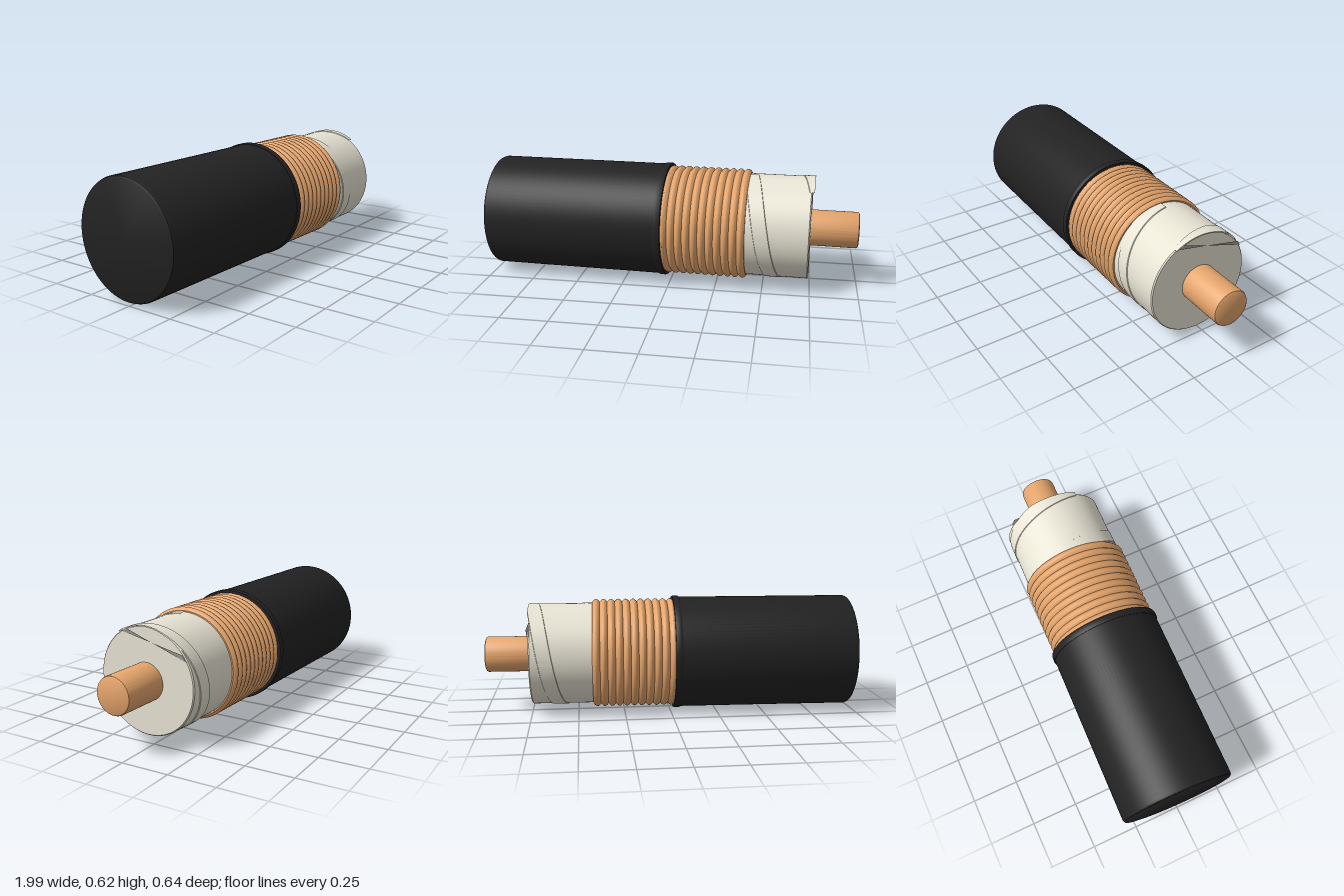
import * as THREE from 'three';
import { toCreasedNormals } from 'three/addons/utils/BufferGeometryUtils.js';
import { ParametricGeometry } from 'three/addons/geometries/ParametricGeometry.js';

const paint = (color, side = THREE.FrontSide) => new THREE.MeshStandardMaterial({ color, side });
const black = paint(0x222222);
const copper = paint(0xe5a56c);
const cream = paint(0xe8e4d4);
const creamThin = paint(0xe8e4d4, THREE.DoubleSide);

// Turned part from [radius, position along the cable] pairs
function turned(name, profile, material, crease = 0.6) {
  const points = profile.map(([r, t]) => new THREE.Vector2(r, t));
  const mesh = new THREE.Mesh(toCreasedNormals(new THREE.LatheGeometry(points, 96), crease), material);
  mesh.name = name;
  return mesh;
}

// Angle is measured from the top of the cable towards its front
const onCable = (r, angle, t, target) => target.set(-r * Math.cos(angle), t, r * Math.sin(angle));

export function createModel() {
  const cable = new THREE.Group();
  cable.name = 'cable';

  // Outer jacket with a softened rear end
  cable.add(turned('jacket', [
    [0, -0.99], [0.292, -0.99], [0.299, -0.986], [0.303, -0.976],
    [0.303, -0.03], [0.28, -0.03],
  ], black));

  // Raised lip where the jacket is cut
  cable.add(turned('jacketLip', [
    [0.29, -0.056], [0.306, -0.056], [0.309, -0.05],
    [0.309, -0.026], [0.306, -0.02], [0.27, -0.02],
  ], black));

  // Ribbed shield: a row of rounded ridges
  const ridges = 11, start = -0.03, pitch = 0.0405, steps = 8;
  const shield = [[0.28, start]];
  for (let i = 0; i < ridges; i++) {
    for (let k = 1; k <= steps; k++) {
      const a = k / steps;
      shield.push([0.28 + 0.015 * Math.sin(Math.PI * a), start + (i + a) * pitch]);
    }
  }
  shield.push([0.26, start + ridges * pitch]);
  cable.add(turned('shield', shield, copper));

  // Insulation
  cable.add(turned('insulation', [
    [0.26, -0.02], [0.273, -0.02], [0.273, 0.738], [0.268, 0.744], [0, 0.744],
  ], cream));

  // Overlap band of the wrapped tape, spiralling along the insulation
  const section = [[0.271, 0], [0.277, 0.003], [0.277, 0.077], [0.271, 0.08]];
  const endAngle = Math.PI * 2 + 0.57;
  const band = new ParametricGeometry((u, v, target) => {
    const [r, offset] = section[Math.round(v * 3)];
    const angle = u * endAngle;
    const t = 0.38 + 0.32 * angle / (Math.PI * 2) + offset;
    onCable(r, angle, Math.min(t, 0.755), target);
  }, 120, 3);
  const tape = new THREE.Mesh(toCreasedNormals(band, 0.5), creamThin);
  tape.name = 'tapeWrap';
  cable.add(tape);

  // Twisted loose end of the tape across the cut face
  const corners = [
    [0.234, 0.15, 0.748], [0.252, 0.106, 0.756], [0.199, -0.04, 0.75],
    [0.166, -0.219, 0.756], [0.131, -0.239, 0.748],
  ];
  const flap = new THREE.BufferGeometry();
  flap.setAttribute('position', new THREE.Float32BufferAttribute(
    [0, 1, 2, 2, 3, 4].flatMap((i) => [-corners[i][0], corners[i][2], corners[i][1]]), 3));
  flap.computeVertexNormals();
  const flapMesh = new THREE.Mesh(flap, paint(0xa8a69c, THREE.DoubleSide));
  flapMesh.name = 'tapeEnd';
  cable.add(flapMesh);

  // Solid conductor
  cable.add(turned('conductor', [
    [0.096, 0.7], [0.096, 0.982], [0.093, 0.989], [0.086, 0.993], [0, 0.993],
  ], copper));

  // Lay the cable along x, turned slightly towards the front
  cable.rotation.z = -Math.PI / 2;
  const model = new THREE.Group();
  model.name = 'strippedCable';
  const turn = new THREE.Group();
  turn.name = 'cableTurn';
  turn.rotation.y = -0.0335;
  turn.position.set(0, 0.31, 0.0125);
  turn.add(cable);
  model.add(turn);
  return model;
}
